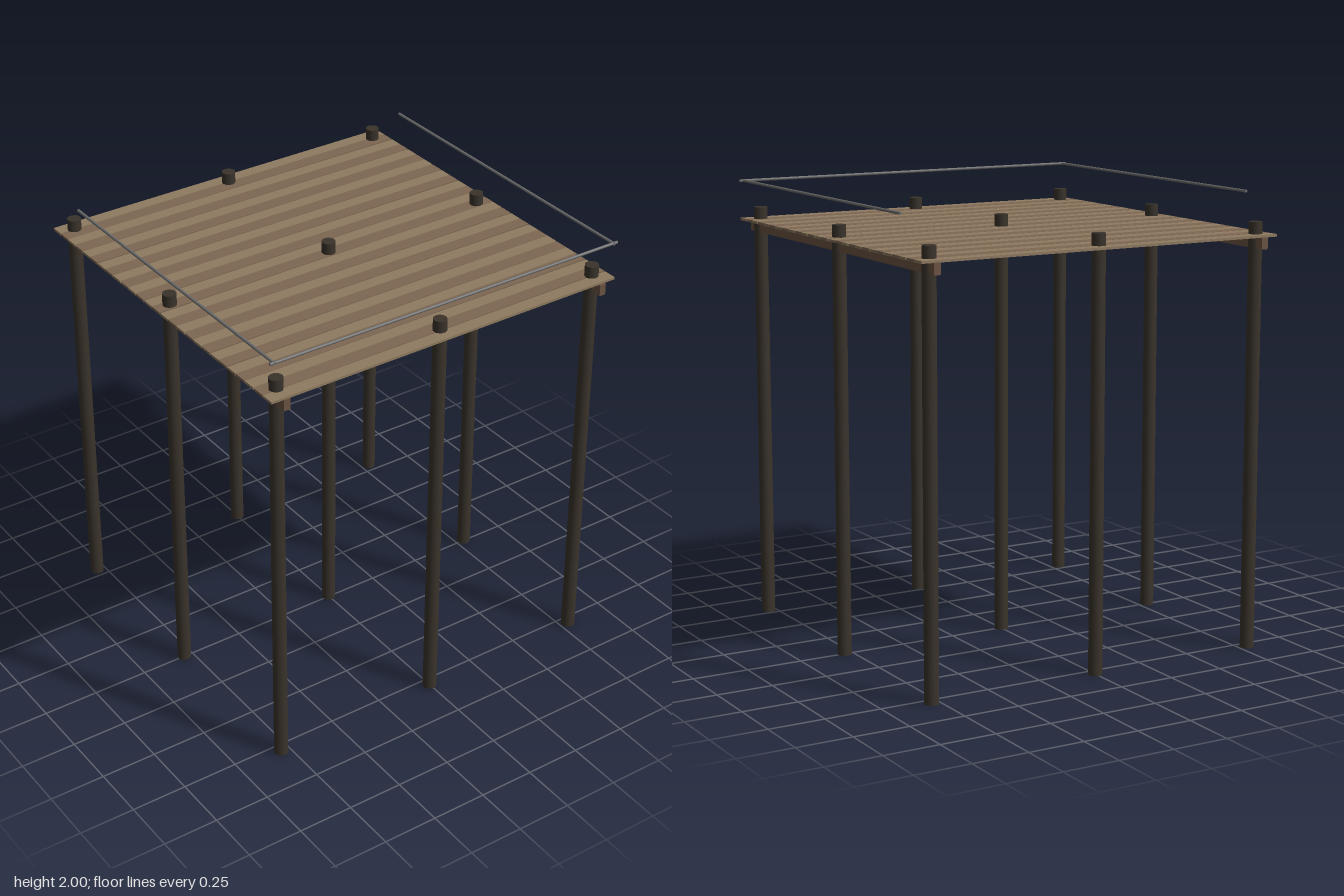
import * as THREE from 'three';

const mat = (color) => new THREE.MeshStandardMaterial({ color });

export function createModel() {
  const group = new THREE.Group();
  const postMat = mat(0x3a332b);
  const beamMat = mat(0x6b5442);
  const plankMats = [mat(0x8f7b60), mat(0x7d6752)];
  const railMat = mat(0x6e6e6e);

  const add = (name, geometry, material, x, y, z) => {
    const mesh = new THREE.Mesh(geometry, material);
    mesh.name = name;
    mesh.position.set(x, y, z);
    group.add(mesh);
    return mesh;
  };

  // Nine round posts standing through the deck
  const postGeo = new THREE.CylinderGeometry(0.03, 0.031, 1.88, 16);
  for (const x of [-0.79, 0, 0.79]) {
    for (const z of [-0.795, -0.003, 0.788]) add('post', postGeo, postMat, x, 0.94, z);
  }

  // Two side beams under the planks
  const beamGeo = new THREE.BoxGeometry(0.03, 0.05, 1.73);
  for (const x of [-0.79, 0.79]) add('sideBeam', beamGeo, beamMat, x, 1.793, 0);

  // Deck planks, alternating in tone and laid slightly askew
  const count = 27;
  const pitch = 1.72 / count;
  const plankGeo = new THREE.BoxGeometry(1.72, 0.011, pitch - 0.004);
  for (let i = 0; i < count; i++) {
    const z = -0.86 + pitch * (i + 0.5);
    const plank = add('plank', plankGeo, plankMats[i % 2], 0, 1.8225, z);
    plank.rotation.y = 0.004 + 0.0025 * Math.sin(i * 2.3);
  }

  // Thin rail raised above the front and both sides
  const rail = (name, length, x, z, axis) => {
    const mesh = add(name, new THREE.CylinderGeometry(0.0065, 0.0065, length, 8), railMat, x, 1.9935, z);
    if (axis === 'x') mesh.rotation.z = Math.PI / 2;
    else mesh.rotation.x = Math.PI / 2;
  };
  rail('frontRail', 1.72, 0, 0.855, 'x');
  for (const x of [-0.84, 0.84]) rail('sideRail', 1.517, x, 0.1035, 'z');

  return group;
}
